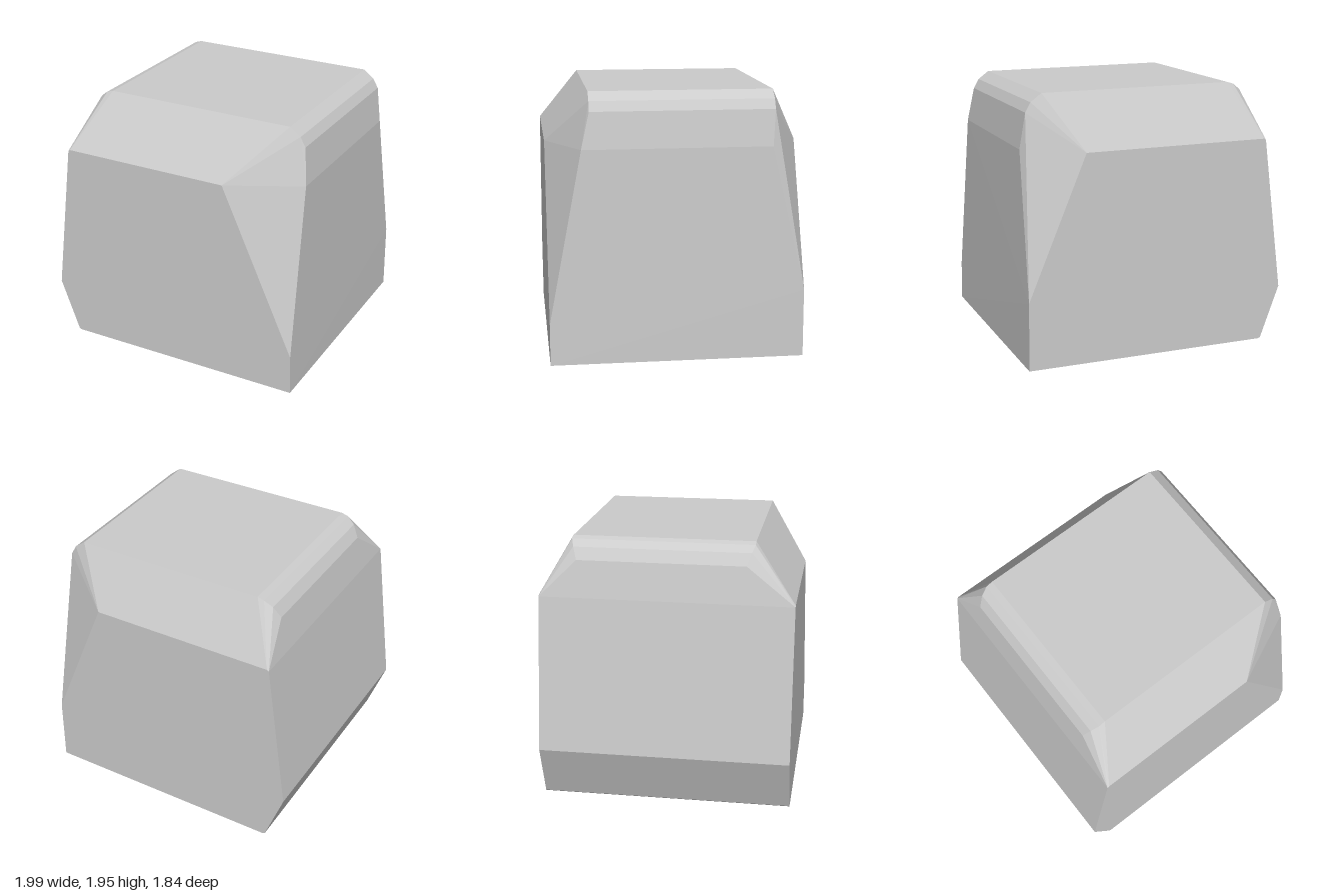
import * as THREE from 'three';
import { ConvexGeometry } from 'three/addons/geometries/ConvexGeometry.js';

export function createModel() {
  const group = new THREE.Group();
  const points = [];
  const add = (x, y, z) => points.push(new THREE.Vector3(x, y, z));

  // Flat front and back outlines, with the +x upper corner cut away
  for (const [z, cutX, cutY] of [[0.92, 0.43, 0.3], [-0.92, 0.55, 0.5]]) {
    add(-0.84, 0, z);
    add(-0.855, 0.01, z);
    add(-1, 0.4, z);
    add(-0.855, 1.535, z);
    add(-0.84, 1.545, z);
    add(cutX, 1.54, z);
    add(0.985, cutY, z);
    add(0.99, 0, z);
  }

  // Rounded upper rim: x, y, back z, front z
  const rim = [
    [-0.80, 1.80, -0.65, 0.57],
    [-0.75, 1.885, -0.68, 0.60],
    [-0.69, 1.93, -0.70, 0.62],
    [-0.64, 1.945, -0.70, 0.62],
    [0.80, 1.94, -0.70, 0.62],
    [0.88, 1.88, -0.70, 0.62],
    [0.92, 1.81, -0.70, 0.62],
    [0.96, 1.55, -0.68, 0.68],
  ];
  for (const [x, y, back, front] of rim) {
    add(x, y, back);
    add(x, y, front);
  }

  // Faceted solid block
  const block = new THREE.Mesh(
    new ConvexGeometry(points),
    new THREE.MeshStandardMaterial({ color: 0xcccccc, flatShading: true })
  );
  block.name = 'facetedBlock';
  group.add(block);
  return group;
}
